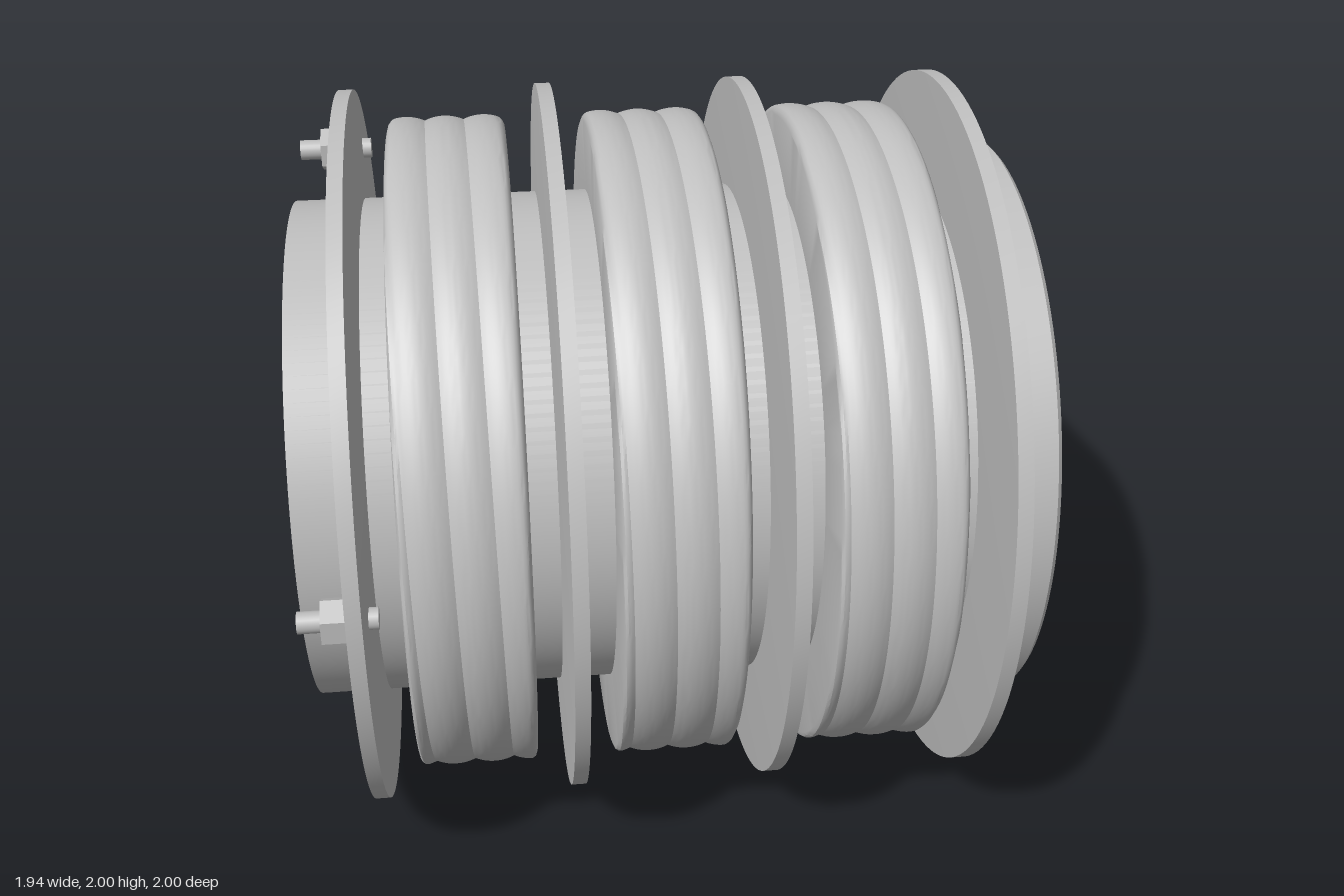
import * as THREE from 'three';
import { toCreasedNormals, mergeVertices } from 'three/addons/utils/BufferGeometryUtils.js';

const steel = new THREE.MeshStandardMaterial({ color: 0xbfbfbf });
steel.name = 'greySteel';

// Closed [x, radius] profile turned about the x axis
function turned(profile) {
  const points = profile.map(([x, r]) => new THREE.Vector2(r, x));
  points.push(points[0].clone());
  const geometry = new THREE.LatheGeometry(points, 128).rotateZ(-Math.PI / 2);
  return toCreasedNormals(geometry, 0.35);
}

// Rope wound on the drum: helical ridges cut off square at both ends
function ropeCoil() {
  const pitch = 0.107, half = 0.16, around = 128, perTurn = 14, crown = 0.13;
  const along = 4 * perTurn, row = along + 3;
  const positions = [], index = [];
  for (let j = 0; j <= around; j++) {
    const turn = j / around, angle = turn * Math.PI * 2;
    for (let i = -1; i <= along + 1; i++) {
      const t = -2.5 + i / perTurn;
      const x = THREE.MathUtils.clamp((t + turn) * pitch, -half, half);
      const phase = x / pitch - turn;
      const d = (phase - Math.round(phase)) * pitch;
      let r = 0.92 - crown + Math.sqrt(crown * crown - d * d);
      // rounded shoulders at the ends
      const inset = Math.max(0, 0.018 - (half - Math.abs(x)));
      r -= 0.018 - Math.sqrt(0.018 ** 2 - Math.min(inset, 0.018) ** 2);
      // end walls run down into the drum
      if (i < 0 || i > along) r = 0.69;
      positions.push(x, r * Math.cos(angle), r * Math.sin(angle));
    }
  }
  for (let j = 0; j < around; j++) {
    for (let i = 0; i < row - 1; i++) {
      const a = j * row + i, b = a + row;
      index.push(a, b, a + 1, b, b + 1, a + 1);
    }
  }
  let geometry = new THREE.BufferGeometry();
  geometry.setAttribute('position', new THREE.Float32BufferAttribute(positions, 3));
  geometry.setIndex(index);
  geometry = mergeVertices(geometry, 1e-5);
  return toCreasedNormals(geometry, 0.6);
}

export function createModel() {
  const model = new THREE.Group();
  model.name = 'cableDrum';
  const add = (name, geometry, x = 0, parent = model) => {
    const mesh = new THREE.Mesh(geometry, steel);
    mesh.name = name;
    mesh.position.x = x;
    parent.add(mesh);
    return mesh;
  };

  // Hollow drum with a wider bevelled collar on the left end
  add('drum', turned([
    [-0.97, 0.54], [-0.97, 0.7], [0.865, 0.7], [0.865, 0.797], [0.875, 0.807],
    [0.955, 0.807], [0.967, 0.795], [0.967, 0.54],
  ]));

  // Four tapered flanges
  const flange = turned([
    [-0.032, 0.68], [-0.032, 0.7], [-0.02, 1], [0.02, 1], [0.032, 0.7], [0.032, 0.68],
  ]);
  for (const x of [-0.81, -0.27, 0.27, 0.81]) add('flange', flange, x);

  // Three rope windings between the flanges
  const coil = ropeCoil();
  for (const x of [-0.54, 0, 0.54]) add('ropeCoil', coil, x);

  // Three rope clamp bolts through the outer flange
  const stud = new THREE.CylinderGeometry(0.028, 0.028, 0.2, 24).rotateZ(-Math.PI / 2);
  const nut = toCreasedNormals(
    new THREE.CylinderGeometry(0.062, 0.062, 0.066, 6).rotateY(Math.PI / 6).rotateZ(-Math.PI / 2), 0.3);
  for (let k = 0; k < 3; k++) {
    const angle = k * Math.PI * 2 / 3;
    const bolt = new THREE.Group();
    bolt.name = 'clampBolt';
    bolt.position.set(0, 0.85 * Math.sin(angle), 0.85 * Math.cos(angle));
    add('stud', stud, -0.86, bolt);
    add('nut', nut, -0.867, bolt);
    model.add(bolt);
  }

  model.position.y = 1;
  const root = new THREE.Group();
  root.add(model);
  return root;
}
